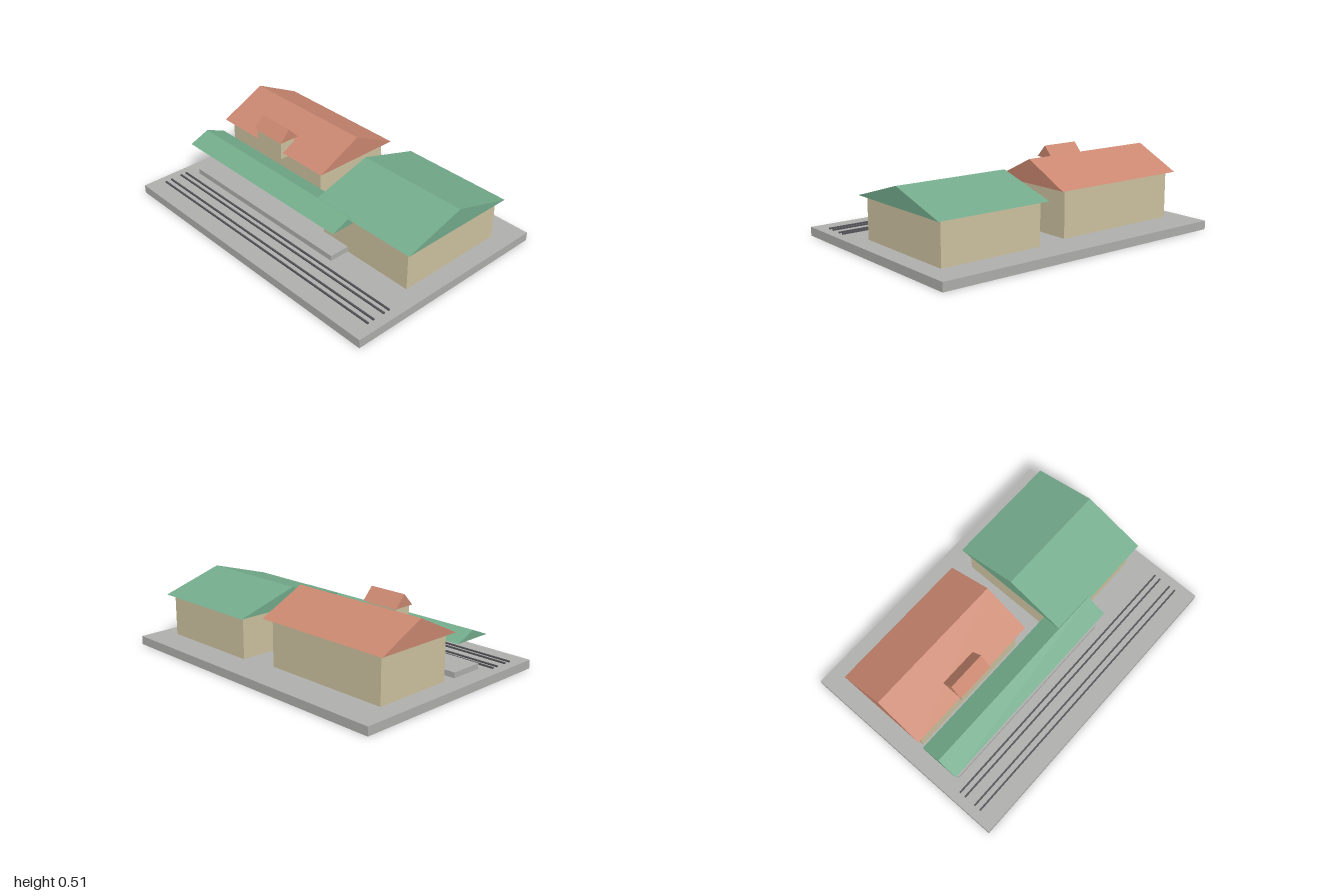
import * as THREE from 'three';

const material = (name, color) => {
  const m = new THREE.MeshStandardMaterial({ color });
  m.name = name;
  return m;
};

export function createModel() {
  const stone = material('stone grey', 0xb0b0ae);
  const wall = material('sand wall', 0xcfc4a1);
  const red = material('terracotta roof', 0xcb8871);
  const green = material('green roof', 0x74ac8c);
  const steel = material('dark steel', 0x55555a);

  const model = new THREE.Group();
  model.name = 'railwayStation';

  const add = (name, geometry, mat) => {
    const mesh = new THREE.Mesh(geometry, mat);
    mesh.name = name;
    model.add(mesh);
  };

  // Box given by its limits on each axis
  const box = (name, mat, [x0, x1], [y0, y1], [z0, z1]) => {
    const g = new THREE.BoxGeometry(x1 - x0, y1 - y0, z1 - z0);
    g.translate((x0 + x1) / 2, (y0 + y1) / 2, (z0 + z1) / 2);
    add(name, g, mat);
  };

  // Solid gable roof with its ridge along x
  const gable = (name, mat, [x0, x1], [y0, y1], [z0, z1]) => {
    const half = (z1 - z0) / 2;
    const shape = new THREE.Shape();
    shape.moveTo(-half, y0);
    shape.lineTo(half, y0);
    shape.lineTo(0, y1);
    shape.closePath();
    const g = new THREE.ExtrudeGeometry(shape, { depth: x1 - x0, bevelEnabled: false });
    g.rotateY(Math.PI / 2);
    g.translate(x0, 0, (z0 + z1) / 2);
    add(name, g, mat);
  };

  const ground = 0.055;

  // Ground slab and platform
  box('groundSlab', stone, [-1, 1], [0, ground], [-0.703, 0.703]);
  box('platform', stone, [-0.88, 0.405], [ground, 0.09], [0.135, 0.355]);

  // Main station hall
  box('hallWalls', wall, [-0.873, -0.02], [ground, 0.35], [-0.473, 0.053]);
  gable('hallRoof', red, [-0.913, 0.027], [0.348, 0.495], [-0.51, 0.09]);

  // Dormer on the front slope of the hall
  box('dormerWalls', wall, [-0.555, -0.33], [0.308, 0.432], [-0.005, 0.103]);
  gable('dormerRoof', red, [-0.57, -0.315], [0.43, 0.506], [-0.025, 0.115]);

  // Side building
  box('sideBuildingWalls', wall, [0.2, 0.878], [ground, 0.322], [-0.515, 0.222]);
  gable('sideBuildingRoof', green, [0.165, 0.915], [0.32, 0.441], [-0.553, 0.257]);

  // Canopy over the platform
  gable('platformCanopy', green, [-0.913, 0.44], [0.273, 0.327], [0.113, 0.375]);

  // Two tracks of two rails each
  for (const z of [0.42, 0.46, 0.537, 0.58]) {
    box('rail', steel, [-0.94, 0.94], [ground, 0.064], [z - 0.005, z + 0.005]);
  }

  return model;
}
